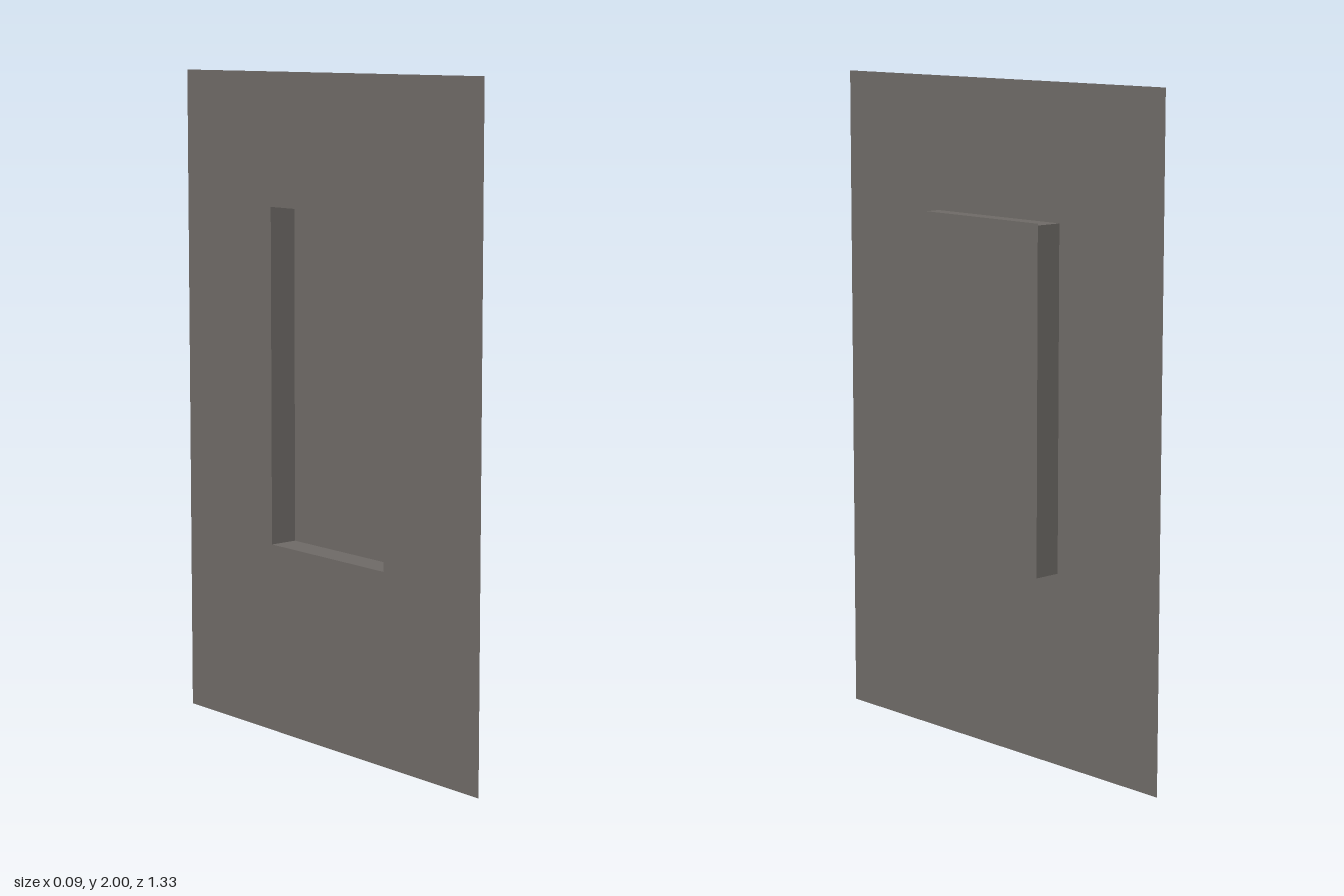
import * as THREE from 'three';

export function createModel() {
  const group = new THREE.Group();
  group.name = 'recessedPanel';
  const grey = new THREE.MeshStandardMaterial({ color: 0x6f6b67, side: THREE.DoubleSide });
  grey.name = 'warm grey';

  const depth = 0.09, centreY = 1.09;
  const halfW = 0.257, halfH = 0.511; // recess opening

  const add = (name, geometry, x, y, z) => {
    const mesh = new THREE.Mesh(geometry, grey);
    mesh.name = name;
    mesh.position.set(x, y, z);
    group.add(mesh);
    return mesh;
  };

  // Flat sheet with a rectangular opening
  const sheet = new THREE.Shape([[-0.665, 0], [0.665, 0], [0.665, 2], [-0.665, 2]]
    .map(([x, y]) => new THREE.Vector2(x, y)));
  sheet.holes.push(new THREE.Path([[-1, -1], [-1, 1], [1, 1], [1, -1]]
    .map(([x, y]) => new THREE.Vector2(x * halfW, centreY + y * halfH))));
  add('wallSheet', new THREE.ShapeGeometry(sheet).rotateY(Math.PI / 2), -depth / 2, 0, 0);

  // Raised face closing the recess, slightly wider than its walls
  add('raisedFace', new THREE.PlaneGeometry(0.525, 1.034).rotateY(Math.PI / 2), depth / 2, centreY, 0);

  // Four thin walls joining the sheet to the raised face
  for (const s of [-1, 1]) {
    add(s > 0 ? 'frontWall' : 'backWall',
      new THREE.PlaneGeometry(depth, halfH * 2).rotateY(s > 0 ? 0 : Math.PI), 0, centreY, s * halfW);
    add(s > 0 ? 'topWall' : 'bottomWall',
      new THREE.PlaneGeometry(depth, halfW * 2).rotateX(-s * Math.PI / 2), 0, centreY + s * halfH, 0);
  }
  return group;
}
